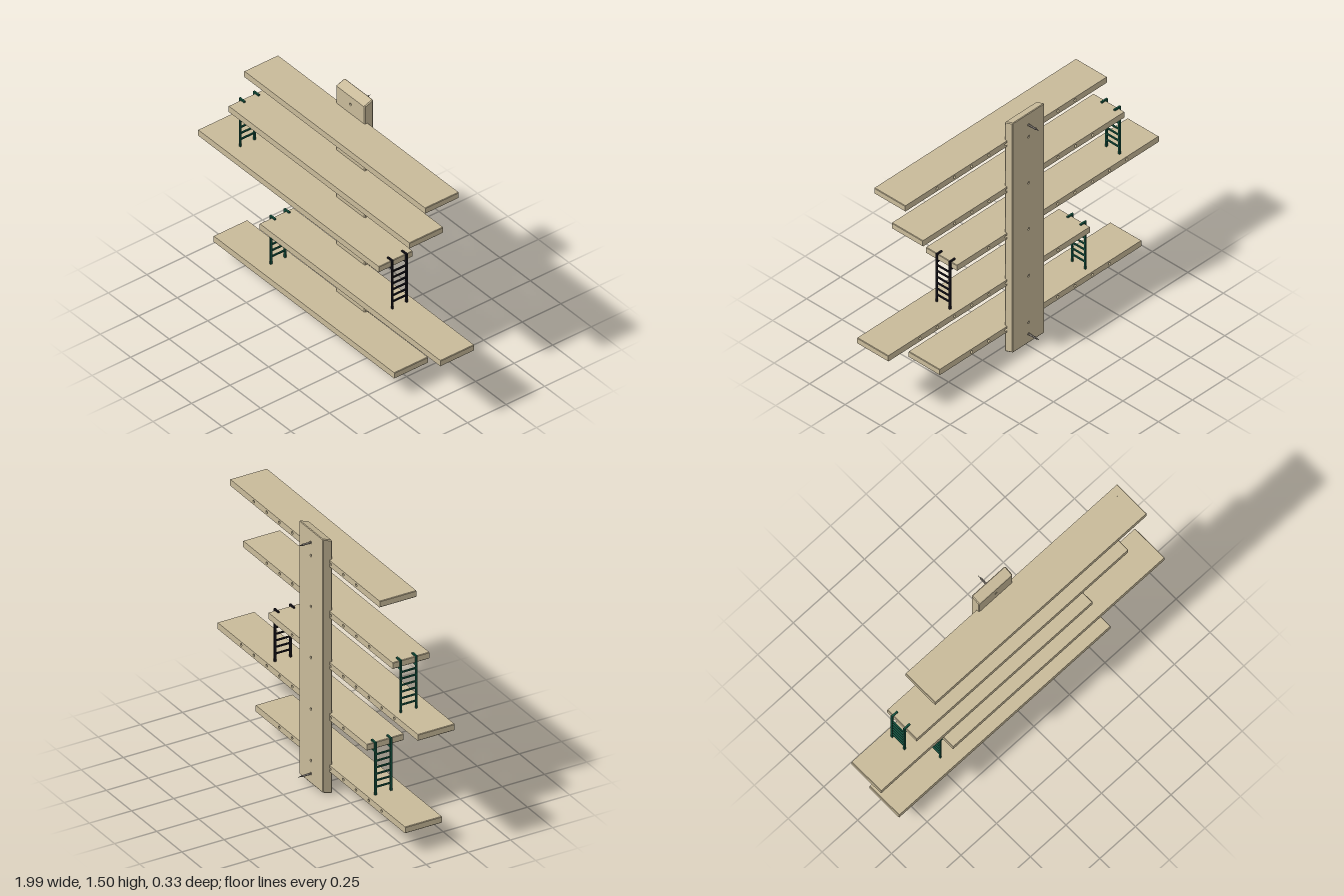
import * as THREE from 'three';

const wood = new THREE.MeshStandardMaterial({ color: 0xc9bb9a });
wood.name = 'wood';
const green = new THREE.MeshStandardMaterial({ color: 0x14523f });
green.name = 'darkGreen';
const black = new THREE.MeshStandardMaterial({ color: 0x17151b });
black.name = 'black';
const steel = new THREE.MeshStandardMaterial({ color: 0x77716a });
steel.name = 'steel';

const SHELF_LENGTH = 1.487, SHELF_H = 0.037, SHELF_BACK = -0.047, SHELF_FRONT = 0.17;
const POST_FRONT = -0.03, POST_BACK = -0.086;
const HOLE_R = 0.008, HOLE_STEP = 0.127;

// shelf centre x and underside y, from the bottom up
const shelves = [[-0.128, 0.13], [0.251, 0.43], [-0.255, 0.73], [-0.004, 1.028], [0.125, 1.325]];

function add(parent, name, geometry, material, x = 0, y = 0, z = 0) {
  const mesh = new THREE.Mesh(geometry, material);
  mesh.name = name;
  mesh.position.set(x, y, z);
  parent.add(mesh);
  return mesh;
}

// rectangle with slightly cut corners, from (-w/2, 0) to (w/2, h)
function plankShape(w, h, c) {
  const a = w / 2;
  return new THREE.Shape([
    [-a + c, 0], [a - c, 0], [a, c], [a, h - c], [a - c, h], [-a + c, h], [-a, h - c], [-a, c],
  ].map(([x, y]) => new THREE.Vector2(x, y)));
}

function drill(shape, x, y) {
  shape.holes.push(new THREE.Path().absarc(x, y, HOLE_R, 0, Math.PI * 2, true));
}

// post with holes and ends cut at a slant
function makePost() {
  const bevel = 0.004, h = 1.47;
  const shape = plankShape(0.236 - 2 * bevel, h, 0.003);
  [0.073, 1.42, ...shelves.map(s => s[1] + SHELF_H / 2)].forEach(y => drill(shape, 0, y));
  const geo = new THREE.ExtrudeGeometry(shape, {
    depth: POST_FRONT - POST_BACK - 2 * bevel, bevelEnabled: true, bevelSize: bevel,
    bevelThickness: bevel, bevelSegments: 1, curveSegments: 8,
  });
  geo.translate(0, 0, POST_BACK + bevel);
  const p = geo.attributes.position;
  for (let i = 0; i < p.count; i++) {
    const y = p.getY(i);
    if (y < 0.03 || y > h - 0.03) p.setY(i, y + (POST_FRONT - p.getZ(i)) * 0.36);
  }
  geo.computeVertexNormals();
  return geo;
}

// shelf: solid front part, drilled rear part
function makeShelf(x, y) {
  const shelf = new THREE.Group();
  shelf.name = 'shelf';
  const split = 0.0;
  const solid = plankShape(SHELF_LENGTH, SHELF_H, 0.003);
  const drilled = plankShape(SHELF_LENGTH, SHELF_H, 0.003);
  for (let k = -4; k <= 4; k++) drill(drilled, k * HOLE_STEP, SHELF_H / 2);
  const extrude = (s, depth) =>
    new THREE.ExtrudeGeometry(s, { depth, bevelEnabled: false, curveSegments: 8 });
  add(shelf, 'shelfFront', extrude(solid, SHELF_FRONT - split), wood, 0, 0, split);
  add(shelf, 'shelfRear', extrude(drilled, split - SHELF_BACK), wood, 0, 0, SHELF_BACK);
  shelf.position.set(x, y, 0);
  return shelf;
}

// threaded screw pointing backwards
function makeScrew() {
  const pts = [new THREE.Vector2(0, 0), new THREE.Vector2(0.008, 0), new THREE.Vector2(0.004, 0.006)];
  for (let i = 0; i < 11; i++) {
    const y = 0.055 + i * 0.006, taper = i > 7 ? (11 - i) / 4 : 1;
    pts.push(new THREE.Vector2(0.004 * taper, y), new THREE.Vector2(0.0065 * taper, y + 0.003));
  }
  pts.push(new THREE.Vector2(0, 0.128));
  const geo = new THREE.LatheGeometry(pts, 10);
  geo.rotateX(-Math.PI / 2);
  return geo;
}

// ladder hooked on a shelf end; dir is the way its hooks reach
function makeLadder(x, base, dir, material) {
  const ladder = new THREE.Group();
  ladder.name = 'ladder';
  const t = 0.01, height = 0.308;
  const zs = [-0.004, 0.088];
  for (const z of zs) {
    add(ladder, 'ladderRail', new THREE.BoxGeometry(t, height, t), material, 0, height / 2, z);
    for (const y of [height - 0.005, height - 0.052]) {
      add(ladder, 'ladderHook', new THREE.BoxGeometry(0.042, t, t), material, dir * 0.016, y, z);
    }
  }
  const rung = new THREE.BoxGeometry(0.008, 0.008, zs[1] - zs[0]);
  for (let i = 0; i < 6; i++) {
    add(ladder, 'ladderRung', rung, material, 0, 0.045 + i * 0.038, (zs[0] + zs[1]) / 2);
  }
  ladder.position.set(x, base, 0);
  return ladder;
}

export function createModel() {
  const model = new THREE.Group();
  model.name = 'wallShelf';
  add(model, 'post', makePost(), wood);

  for (const [x, y] of shelves) {
    model.add(makeShelf(x, y));
    // screw head sunk into the back of the post
    const head = new THREE.CylinderGeometry(HOLE_R, HOLE_R, 0.02, 12).rotateX(Math.PI / 2);
    add(model, 'shelfScrewHead', head, steel, 0, y + SHELF_H / 2, POST_BACK + 0.014);
  }

  const screw = makeScrew();
  for (const y of [0.073, 1.42]) add(model, 'wallScrew', screw, steel, 0, y, -0.036);

  model.add(makeLadder(-0.503, 0.167, 1, green));
  model.add(makeLadder(0.494, 0.467, -1, black));
  model.add(makeLadder(-0.754, 0.766, 1, green));
  return model;
}
